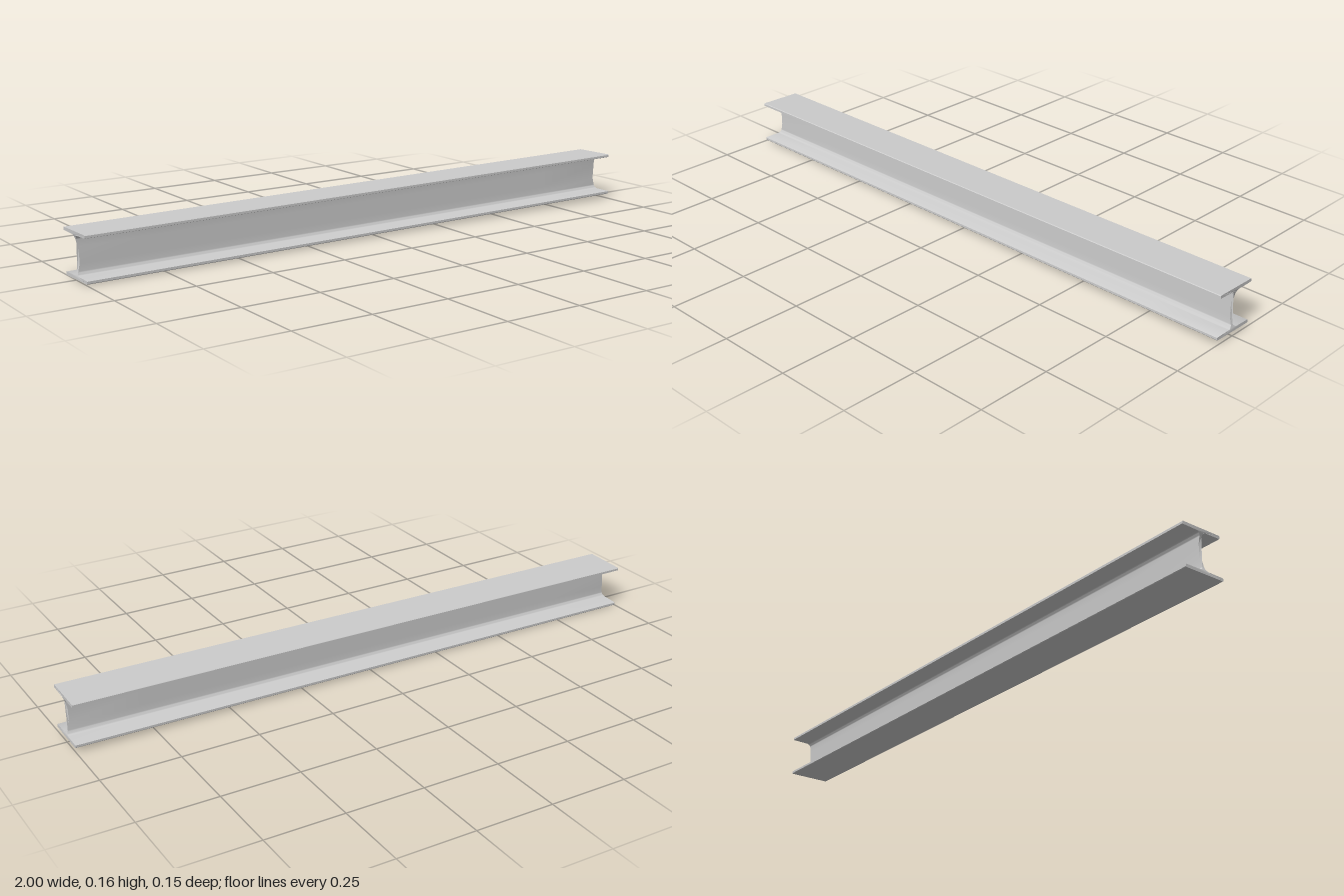
import * as THREE from 'three';
import { toCreasedNormals } from 'three/addons/utils/BufferGeometryUtils.js';

const LENGTH = 2;
const HALF_HEIGHT = 0.071;
const HALF_WIDTH = 0.0725;
const FLANGE = 0.011;
const HALF_WEB = 0.0042;
const FILLET = 0.013;
const BEVEL = 0.002;

// I-shaped section with rounded web roots and slightly eased flange edges
function beamSection() {
  const inner = HALF_HEIGHT - FLANGE;
  const quarter = [
    [HALF_WIDTH - BEVEL, HALF_HEIGHT],
    [HALF_WIDTH, HALF_HEIGHT - BEVEL],
    [HALF_WIDTH, inner + BEVEL],
    [HALF_WIDTH - BEVEL, inner + 0.001],
  ];
  for (let i = 0; i <= 6; i++) {
    const a = (i / 6) * Math.PI / 2;
    quarter.push([
      HALF_WEB + FILLET * (1 - Math.sin(a)),
      inner - FILLET * (1 - Math.cos(a)),
    ]);
  }
  quarter.push([HALF_WEB, 0.025]);
  const mirrorY = quarter.map(([x, y]) => [x, -y]).reverse();
  const right = [...quarter, ...mirrorY];
  const left = right.map(([x, y]) => [-x, y]).reverse();
  return new THREE.Shape([...right, ...left].map(([x, y]) => new THREE.Vector2(x, y)));
}

export function createModel() {
  const group = new THREE.Group();
  group.name = 'steelBeam';

  let geometry = new THREE.ExtrudeGeometry(beamSection(), {
    depth: LENGTH, steps: 8, bevelEnabled: false,
  });
  geometry.translate(0, 0, -LENGTH / 2).rotateY(Math.PI / 2);

  // the web ends are cut back a little, deepest at mid-height
  const pos = geometry.attributes.position;
  for (let i = 0; i < pos.count; i++) {
    const x = pos.getX(i);
    if (Math.abs(x) < LENGTH / 2 - 0.001) continue;
    const t = Math.abs(pos.getY(i)) / (HALF_HEIGHT - FLANGE);
    pos.setX(i, x - Math.sign(x) * 0.012 * Math.max(0, 1 - t * t));
  }
  geometry = toCreasedNormals(geometry, 0.6);

  const beam = new THREE.Mesh(geometry, new THREE.MeshStandardMaterial({ color: 0xcccccc }));
  beam.name = 'beam';
  // the beam rests with a slight slope and roll
  beam.rotation.set(-0.02, 0, 0.0068, 'ZYX');
  beam.position.y = 0.0796;
  group.add(beam);
  return group;
}
